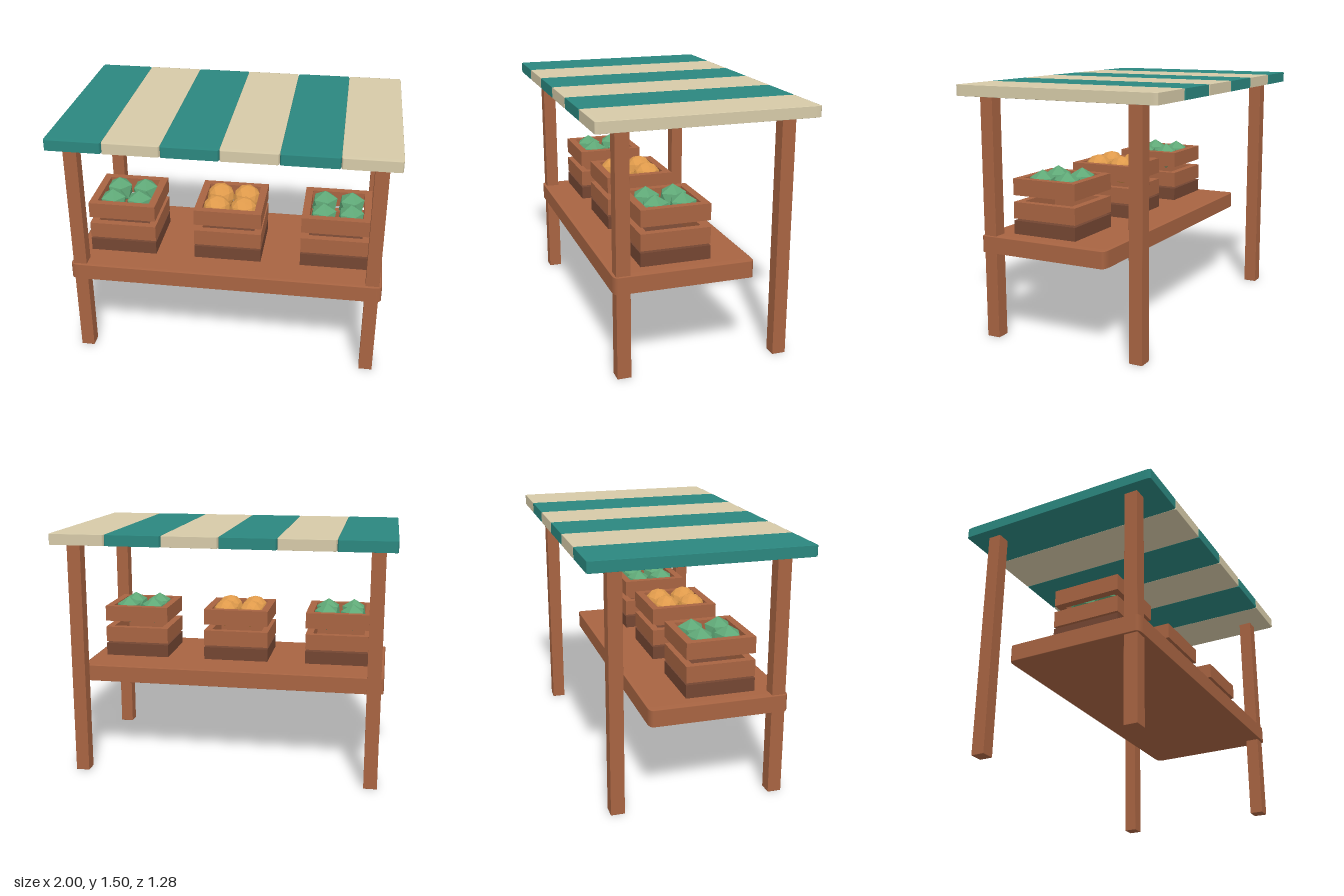
import * as THREE from 'three';
import { RoundedBoxGeometry } from 'three/addons/geometries/RoundedBoxGeometry.js';

const mat = (color, flatShading = false) => {
  const m = new THREE.MeshStandardMaterial({ flatShading });
  m.color.set(color);
  return m;
};
const wood = mat(0xa86442), darkWood = mat(0x744632);
const teal = mat(0x2b877f), cream = mat(0xd6caa8);
const green = mat(0x5fa877, true), orange = mat(0xdf9a4b, true);

function add(parent, name, geometry, material, x, y, z) {
  const mesh = new THREE.Mesh(geometry, material);
  mesh.name = name;
  mesh.position.set(x, y, z);
  parent.add(mesh);
  return mesh;
}

// Soft-edged unit cube stretched to size, so the bevel stretches with it
function softBox(w, h, d, bevel = 0.028) {
  return new RoundedBoxGeometry(1, 1, 1, 2, bevel).scale(w, h, d);
}

// Square open frame with its bottom at y = 0
function frameGeometry(size, wall, height) {
  const square = (path, r) => path.moveTo(-r, -r).lineTo(r, -r).lineTo(r, r).lineTo(-r, r).closePath();
  const shape = square(new THREE.Shape(), size / 2);
  shape.holes.push(square(new THREE.Path(), size / 2 - wall));
  return new THREE.ExtrudeGeometry(shape, { depth: height, bevelEnabled: false }).rotateX(-Math.PI / 2);
}

// Icosphere standing on a vertex
function produceGeometry(radius, detail) {
  return new THREE.IcosahedronGeometry(radius, detail)
    .rotateX(-Math.atan((1 + Math.sqrt(5)) / 2))
    .rotateY(Math.PI / 2);
}

function crate(name, geometry, material) {
  const g = new THREE.Group();
  g.name = name;
  const size = 0.413;
  add(g, 'crateBase', new THREE.BoxGeometry(size, 0.08, size), darkWood, 0, 0.668, 0);
  const slats = frameGeometry(size, 0.045, 0.098);
  for (const y of [0.72, 0.858]) add(g, 'crateSlats', slats, wood, 0, y, 0);
  for (const x of [-0.083, 0.083])
    for (const z of [-0.083, 0.083]) add(g, 'produce', geometry, material, x, 0.913, z);
  return g;
}

export function createModel() {
  const stall = new THREE.Group();
  stall.name = 'marketStall';

  // Four posts
  const post = softBox(0.081, 1.435, 0.081, 0.006);
  for (const x of [-0.893, 0.893])
    for (const z of [-0.477, 0.477]) add(stall, 'post', post, wood, x, 0.7175, z);

  // Counter, set toward the front
  add(stall, 'counter', softBox(1.9, 0.102, 0.83), wood, 0, 0.567, 0.12);

  // Striped roof
  const panel = softBox(1 / 3, 0.066, 1.276);
  for (let i = 0; i < 6; i++)
    add(stall, 'roofPanel', panel, i % 2 ? cream : teal, -1 + (i + 0.5) / 3, 1.462, 0);

  // Crates of produce
  const cabbage = produceGeometry(0.087, 0), fruit = produceGeometry(0.087, 1);
  for (const i of [-1, 0, 1]) {
    const c = i ? crate('greensCrate', cabbage, green) : crate('fruitCrate', fruit, orange);
    c.position.set(i * 0.655, 0, 0.15);
    stall.add(c);
  }
  return stall;
}
